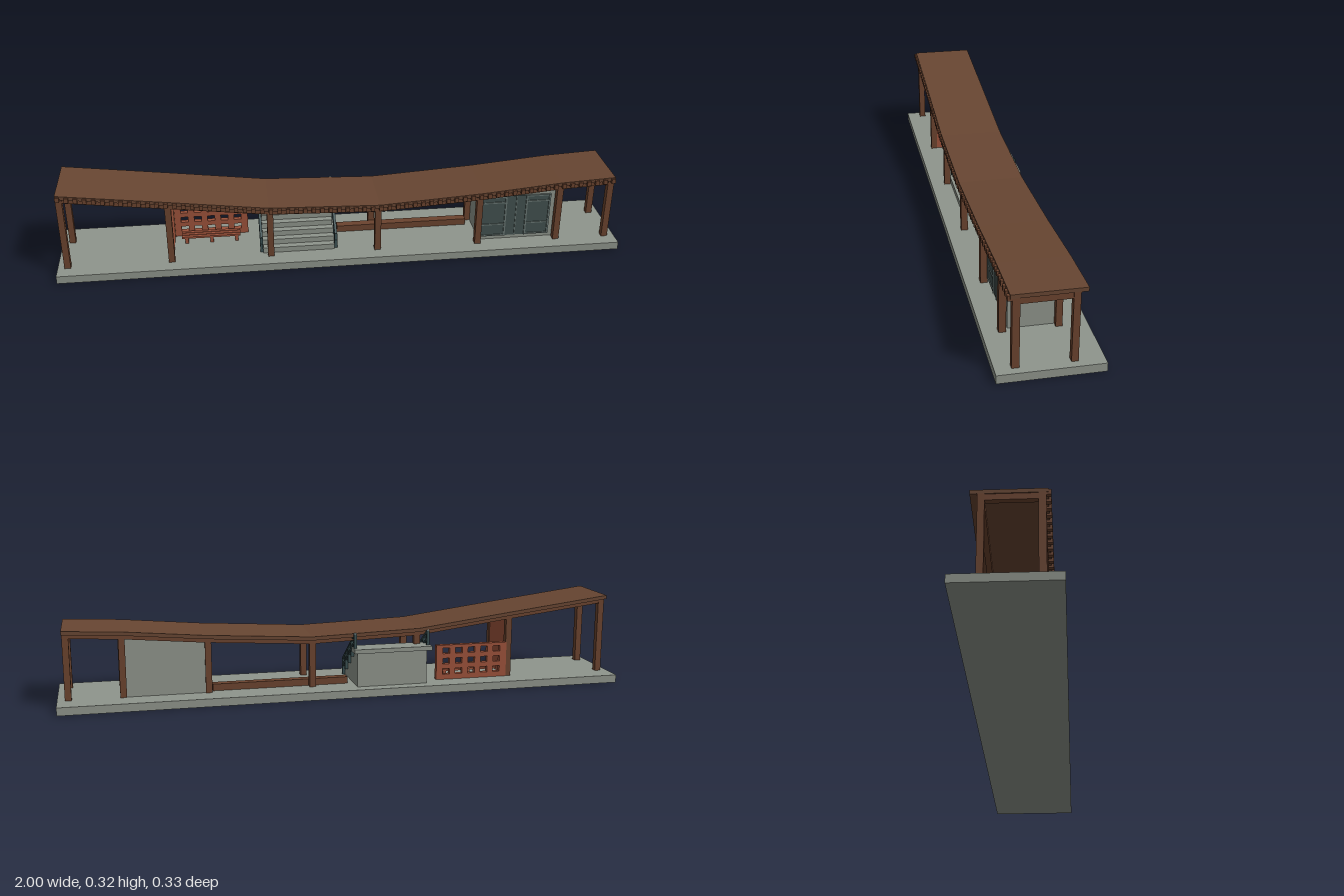
import * as THREE from 'three';

const mat = (name, color, side = THREE.FrontSide) => {
  const m = new THREE.MeshStandardMaterial({ color, side });
  m.name = name;
  return m;
};

export function createModel() {
  const model = new THREE.Group();
  model.name = 'coveredWalkway';
  const concrete = mat('concrete', 0x8f958c);
  const roofBrown = mat('roof brown', 0x684632);
  const timber = mat('timber', 0x6b432e);
  const brick = mat('brick red', 0x9c523a);
  const glass = mat('dark glass', 0x42514f);
  const frame = mat('frame grey', 0x687673);
  const rail = mat('rail teal', 0x3a5052);

  const add = (name, geo, m, parent = model) => {
    const mesh = new THREE.Mesh(geo, m);
    mesh.name = name;
    parent.add(mesh);
    return mesh;
  };
  // box given by its min and max on each axis
  const box = (name, m, x0, x1, y0, y1, z0, z1, parent) => {
    const mesh = add(name, new THREE.BoxGeometry(x1 - x0, y1 - y0, z1 - z0), m, parent);
    mesh.position.set((x0 + x1) / 2, (y0 + y1) / 2, (z0 + z1) / 2);
    return mesh;
  };
  // outline in x and y, pushed along z from z0 to z1
  const slab = (name, m, pts, z0, z1, holes = []) => {
    const shape = new THREE.Shape(pts.map(p => new THREE.Vector2(p[0], p[1])));
    shape.holes = holes;
    const geo = new THREE.ExtrudeGeometry(shape, { depth: z1 - z0, bevelEnabled: false });
    geo.translate(0, 0, z0);
    return add(name, geo, m);
  };

  // sagging roof line
  const line = [[-0.975, 0.317], [-0.6, 0.27], [-0.26, 0.226], [0.13, 0.213], [0.5, 0.236], [0.78, 0.261], [0.975, 0.271]];
  const roofY = x => {
    let i = 0;
    while (i < line.length - 2 && x > line[i + 1][0]) i++;
    const [a, b] = [line[i], line[i + 1]];
    return a[1] + (b[1] - a[1]) * (x - a[0]) / (b[0] - a[0]);
  };
  const band = (top, bottom) => [
    ...line.map(([x, y]) => [x, y - bottom]),
    ...line.map(([x, y]) => [x, y - top]).reverse(),
  ];

  const floor = 0.028;
  box('baseSlab', concrete, -1, 1, 0, floor, -0.163, 0.163);

  // roof deck, long beams and rafter tails
  slab('roofDeck', roofBrown, band(0, 0.013), -0.105, 0.119);
  slab('frontBeam', timber, band(0.013, 0.03), 0.092, 0.111);
  slab('backBeam', timber, band(0.013, 0.03), -0.082, -0.064);
  const tails = new THREE.Group();
  tails.name = 'rafterTails';
  model.add(tails);
  for (let i = 0; i < 66; i++) {
    const x = -0.967 + i * 1.934 / 65, y = roofY(x);
    box('rafterTail', timber, x - 0.007, x + 0.007, y - 0.02, y - 0.003, 0.106, 0.127, tails);
  }

  // post frames with cross beams
  for (const x of [-0.965, -0.605, -0.256, 0.125, 0.49, 0.78, 0.963]) {
    const y = roofY(x) - 0.012;
    box('frontPost', timber, x - 0.011, x + 0.011, floor, y, 0.09, 0.113);
    box('backPost', timber, x - 0.011, x + 0.011, floor, y, -0.083, -0.062);
    box('crossBeam', timber, x - 0.009, x + 0.009, y - 0.021, y - 0.001, -0.083, 0.113);
  }

  // brick cross wall with projecting courses
  box('brickWall', brick, -0.611, -0.597, floor, 0.245, -0.066, 0.094);
  for (let i = 0; i < 10; i++) {
    const y = 0.034 + i * 0.021;
    box('brickCourse', brick, -0.616, -0.611, y, y + 0.012, -0.062, 0.09);
  }

  // pierced brick screen
  const holes = [];
  for (let r = 0; r < 3; r++) for (let c = 0; c < 5; c++) {
    const x = -0.572 + c * 0.048, y = 0.047 + r * 0.038, w = 0.026, h = 0.021;
    holes.push(new THREE.Path([[x, y], [x, y + h], [x + w, y + h], [x + w, y]].map(p => new THREE.Vector2(...p))));
  }
  slab('piercedScreen', brick, [[-0.597, floor], [-0.33, floor], [-0.33, 0.155], [-0.597, 0.155]], -0.084, -0.066, holes);

  // slatted bench by the screen
  for (let i = 0; i < 3; i++) {
    box('benchSlat', brick, -0.57, -0.36, 0.05, 0.057, -0.05 + i * 0.016, -0.038 + i * 0.016);
  }
  for (const x of [-0.56, -0.47, -0.38]) box('benchLeg', brick, x, x + 0.012, floor, 0.05, -0.046, -0.01);

  // solid stair climbing to a rear landing
  const steps = 7, rise = (0.165 - floor) / steps, run = 0.17 / steps;
  for (let i = 0; i < steps; i++) {
    box('stairStep', concrete, -0.282, -0.028, floor + i * rise, floor + (i + 1) * rise, -0.12, 0.088 - i * run);
  }
  box('landing', concrete, -0.298, -0.015, 0.15, 0.165, -0.133, -0.08);

  // railings on both sides of the stair
  for (const x of [-0.288, -0.022]) {
    for (let i = 0; i < 5; i++) {
      const z = -0.108 + i * 0.046;
      const foot = Math.max(floor, 0.16 - i * 0.034);
      box('railPost', rail, x - 0.005, x + 0.005, foot, foot + 0.056, z - 0.005, z + 0.005);
    }
    for (const h of [0.03, 0.057]) {
      const a = new THREE.Vector3(x, 0.16 + h, -0.11), b = new THREE.Vector3(x, floor + h, 0.08);
      const bar = add('handRail', new THREE.BoxGeometry(0.009, 0.007, a.distanceTo(b)), rail);
      bar.position.copy(a).lerp(b, 0.5);
      bar.lookAt(b);
    }
  }

  // long low bench
  box('lowBench', timber, -0.005, 0.475, floor, 0.052, -0.06, -0.03);

  // enclosed room under the roof
  slab('room', concrete, [[0.5, floor], [0.772, floor], [0.772, roofY(0.772) - 0.014], [0.5, roofY(0.5) - 0.014]], -0.077, 0.083);

  // glazed front with frames
  box('glazing', glass, 0.503, 0.757, 0.042, 0.202, 0.083, 0.087);
  for (const x of [0.503, 0.592, 0.668, 0.752]) box('mullion', frame, x - 0.003, x + 0.003, 0.042, 0.202, 0.083, 0.091);
  for (const y of [0.045, 0.09, 0.178, 0.2]) {
    box('transom', frame, 0.503, 0.592, y - 0.0025, y + 0.0025, 0.083, 0.09);
    box('transom', frame, 0.668, 0.755, y - 0.0025, y + 0.0025, 0.083, 0.09);
  }
  box('doorSplit', frame, 0.629, 0.632, 0.042, 0.202, 0.083, 0.09);

  return model;
}
